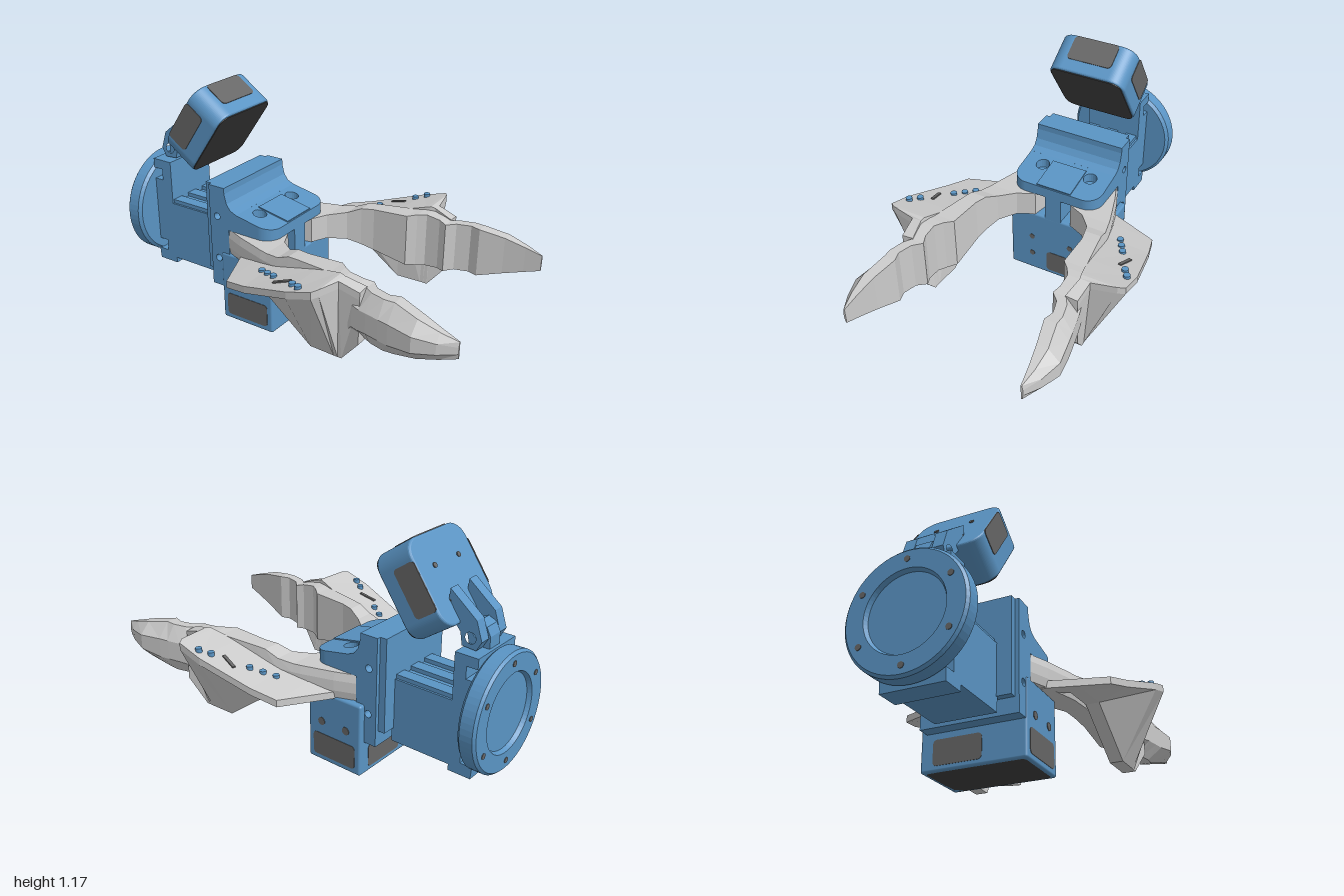
import * as THREE from 'three';
import { RoundedBoxGeometry } from 'three/addons/geometries/RoundedBoxGeometry.js';

const blue = new THREE.MeshStandardMaterial({ color: 0x5a94c4 });
const glass = new THREE.MeshStandardMaterial({ color: 0x666666 });
const lensDark = new THREE.MeshStandardMaterial({ color: 0x404040 });
const grey = new THREE.MeshStandardMaterial({ color: 0xcccccc, flatShading: true });

function add(parent, name, geo, mat) {
  const m = new THREE.Mesh(geo, mat);
  m.name = name;
  parent.add(m);
  return m;
}

// Box given by its min and max on each axis, rounded when r > 0
function box(parent, name, [x0, x1], [y0, y1], [z0, z1], mat = blue, r = 0) {
  const s = [x1 - x0, y1 - y0, z1 - z0];
  const g = r ? new RoundedBoxGeometry(...s, 3, r) : new THREE.BoxGeometry(...s);
  g.translate((x0 + x1) / 2, (y0 + y1) / 2, (z0 + z1) / 2);
  return add(parent, name, g, mat);
}

// Short cylinder along an axis
function peg(parent, name, axis, r, len, x, y, z, mat) {
  const g = new THREE.CylinderGeometry(r, r, len, 20);
  if (axis === 'x') g.rotateZ(Math.PI / 2);
  if (axis === 'z') g.rotateX(Math.PI / 2);
  g.translate(x, y, z);
  return add(parent, name, g, mat);
}

// xy profile extruded from z0 to z1, with round holes [x, y, r]
function slab(parent, name, pts, z0, z1, holes = []) {
  const s = new THREE.Shape(pts.map(p => new THREE.Vector2(...p)));
  for (const [x, y, r] of holes) s.holes.push(new THREE.Path().absarc(x, y, r, 0, Math.PI * 2, true));
  const g = new THREE.ExtrudeGeometry(s, { depth: z1 - z0, bevelEnabled: false, curveSegments: 20 });
  g.translate(0, 0, z0);
  return add(parent, name, g, blue);
}

function roundRect(w, h, r) {
  const s = new THREE.Shape(), a = w / 2 - r, b = h / 2 - r, q = Math.PI / 2;
  s.absarc(a, b, r, 0, q).absarc(-a, b, r, q, 2 * q).absarc(-a, -b, r, 2 * q, 3 * q).absarc(a, -b, r, 3 * q, 4 * q);
  return s;
}

// Thin rounded panel of size w x h facing +z before it is turned
function panel(parent, name, w, h, r, pos, rot, mat = glass) {
  const g = new THREE.ExtrudeGeometry(roundRect(w, h, r), { depth: 0.006, bevelEnabled: false, curveSegments: 6 });
  const m = add(parent, name, g.translate(0, 0, -0.003), mat);
  m.position.set(...pos);
  m.rotation.set(...rot);
  return m;
}

// Joins cross-sections along x; each is { x, ring: [[z, y], ...] }. side = -1 mirrors in z
function loft(sections, side) {
  const n = sections[0].ring.length, pos = [], idx = [];
  for (const s of sections) for (const [z, y] of s.ring) pos.push(s.x, y, z * side);
  const tri = (a, b, c) => (side > 0 ? idx.push(a, b, c) : idx.push(a, c, b));
  const last = (sections.length - 1) * n;
  for (let i = 0; i < last; i += n)
    for (let j = 0; j < n; j++) {
      const a = i + j, b = i + (j + 1) % n;
      tri(a, a + n, b + n);
      tri(a, b + n, b);
    }
  for (let j = 1; j < n - 1; j++) {
    tri(0, j, j + 1);
    tri(last, last + j + 1, last + j);
  }
  const g = new THREE.BufferGeometry();
  g.setAttribute('position', new THREE.Float32BufferAttribute(pos, 3));
  g.setIndex(idx);
  g.computeVertexNormals();
  return g;
}

// x, inner z, outer z, bottom y, top y
const FINGER = [
  [-0.35, 0.08, 0.24, 0.37, 0.5], [-0.25, 0.07, 0.28, 0.37, 0.5], [-0.09, 0.1, 0.33, 0.37, 0.5],
  [-0.05, 0.185, 0.34, 0.37, 0.5], [0.03, 0.25, 0.36, 0.36, 0.51], [0.1, 0.275, 0.37, 0.34, 0.54],
  [0.165, 0.29, 0.38, 0.32, 0.545], [0.35, 0.295, 0.41, 0.285, 0.555], [0.39, 0.33, 0.42, 0.28, 0.56],
  [0.43, 0.355, 0.44, 0.28, 0.56], [0.5, 0.355, 0.46, 0.285, 0.55], [0.54, 0.34, 0.47, 0.285, 0.54],
  [0.58, 0.38, 0.48, 0.29, 0.54], [0.65, 0.4, 0.495, 0.29, 0.54], [0.7, 0.385, 0.505, 0.29, 0.54],
  [0.82, 0.415, 0.525, 0.325, 0.515], [0.92, 0.433, 0.495, 0.355, 0.485], [1, 0.443, 0.453, 0.38, 0.46],
];
// x, inner z, inner top y, outer z, outer top y, fin z, fin bottom y
const WING = [
  [-0.25, 0.2, 0.42, 0.275, 0.4, 0.2, 0.365], [-0.13, 0.32, 0.43, 0.53, 0.42, 0.34, 0.375],
  [0, 0.34, 0.46, 0.565, 0.45, 0.36, 0.365], [0.27, 0.38, 0.54, 0.62, 0.535, 0.37, 0.165],
  [0.4, 0.41, 0.575, 0.622, 0.575, 0.375, 0.165], [0.42, 0.415, 0.58, 0.59, 0.58, 0.375, 0.165],
  [0.44, 0.42, 0.575, 0.47, 0.57, 0.375, 0.165], [0.54, 0.4, 0.545, 0.46, 0.54, 0.4, 0.285],
];

function makeFinger(side) {
  const g = new THREE.Group();
  g.name = side > 0 ? 'frontFinger' : 'rearFinger';
  add(g, 'fingerBody', loft(FINGER.map(([x, zi, zo, yb, yt]) => {
    const bevel = x > 0.45 ? (zo - zi) * 0.5 : 0.01, dy = (yt - yb) * 0.3;
    return { x, ring: [[zi, yt], [zi, yb], [zo - bevel, yb], [zo, yb + dy], [zo, yt - dy], [zo - bevel, yt]] };
  }), side), grey);
  add(g, 'fingerWing', loft(WING.map(([x, zi, yi, zo, yo, zb, yb]) => ({
    x, ring: [[zi, yi], [zb, yb], [zb + 0.065, yb], [zo, yo - 0.035], [zo, yo]],
  })), side), grey);
  // Rivets and slot on top of the wing
  for (const [x, z] of [[-0.015, 0.41], [0.04, 0.44], [0.095, 0.47], [0.26, 0.555], [0.31, 0.585]])
    peg(g, 'rivet', 'y', 0.016, 0.03, x, 0.452 + Math.max(x, -0.01) * 0.315, z * side, blue);
  const slot = box(g, 'slot', [-0.045, 0.045], [-0.006, 0.006], [-0.008, 0.008], glass);
  slot.position.set(0.18, 0.509, 0.52 * side);
  slot.rotation.set(0, side * 0.2, 0.3);
  return g;
}

function makeUpperCamera() {
  const g = new THREE.Group();
  g.name = 'upperCamera';
  const t = Math.PI / 2;
  const body = new THREE.ExtrudeGeometry(roundRect(0.39, 0.385, 0.07), {
    depth: 0.18, bevelThickness: 0.01, bevelSize: 0.01, bevelSegments: 3, curveSegments: 10,
  });
  add(g, 'cameraBody', body.translate(0, 0, -0.09).rotateY(t), blue);
  panel(g, 'cameraLens', 0.385, 0.38, 0.05, [0.101, 0, 0], [0, t, 0], lensDark);
  for (const s of [1, -1]) {
    panel(g, 'sideWindow', 0.12, 0.23, 0.02, [-0.04, 0, s * 0.205], [0, s > 0 ? 0 : Math.PI, 0]);
    peg(g, 'backScrew', 'x', 0.012, 0.01, -0.1, 0.06, s * 0.09, glass);
    peg(g, 'backScrew', 'x', 0.012, 0.01, -0.1, -0.1, s * 0.09, glass);
  }
  panel(g, 'topWindow', 0.13, 0.24, 0.02, [-0.03, 0.203, 0], [-t, 0, 0]);
  g.position.set(-0.592, 0.95, 0);
  g.rotation.z = -0.606;
  return g;
}

export function createModel() {
  const model = new THREE.Group();
  const t = Math.PI / 2;

  // Round wrist flange with recessed back
  const profile = [[0, 0.09], [0.27, 0.09], [0.285, 0.075], [0.285, 0.012], [0.273, 0], [0.19, 0], [0.18, 0.02], [0, 0.02]];
  const flange = new THREE.LatheGeometry(profile.map(p => new THREE.Vector2(...p)).reverse(), 64).toNonIndexed();
  flange.computeVertexNormals();
  add(model, 'wristFlange', flange.rotateZ(-t).translate(-1, 0.445, 0), blue);
  for (let i = 0; i < 6; i++) {
    const a = (i + 0.5) * Math.PI / 3;
    peg(model, 'flangeBolt', 'x', 0.014, 0.01, -0.998, 0.445 + 0.235 * Math.sin(a), 0.235 * Math.cos(a), glass);
  }

  // Wrist block and neck with rails
  slab(model, 'wristBlock', [[-0.92, 0.21], [-0.915, 0.15], [-0.8, 0.15], [-0.8, 0.73], [-0.915, 0.73], [-0.915, 0.68],
    [-0.86, 0.68], [-0.86, 0.62], [-0.92, 0.62], [-0.92, 0.27], [-0.86, 0.27], [-0.86, 0.21]], -0.15, 0.15);
  box(model, 'neck', [-0.81, -0.49], [0.18, 0.5], [-0.15, 0.15]);
  for (const z of [-0.11, 0, 0.11]) box(model, 'neckRail', [-0.81, -0.49], [0.49, 0.52], [z - 0.03, z + 0.03]);

  // Camera hinge
  const pin = [-0.84, 0.785, 0.026];
  slab(model, 'hingeBase', [[-0.9, 0.72], [-0.8, 0.72], [-0.785, 0.79], [-0.81, 0.83], [-0.84, 0.843], [-0.88, 0.825], [-0.9, 0.785]], -0.04, 0.04, [pin]);
  for (const z of [-0.1, 0.045])
    slab(model, 'hingeArm', [[-0.895, 0.78], [-0.865, 0.87], [-0.73, 0.98], [-0.72, 0.88], [-0.79, 0.8], [-0.8, 0.74], [-0.87, 0.735]], z, z + 0.055, [pin]);
  model.add(makeUpperCamera());

  // Upright plate
  box(model, 'rearPlate', [-0.5, -0.46], [0.25, 0.72], [-0.22, 0.22]);
  slab(model, 'uprightPlate', [[-0.465, 0.175], [-0.37, 0.175], [-0.37, 0.72], [-0.465, 0.72]], -0.24, 0.24,
    [[-0.42, 0.56, 0.018], [-0.42, 0.33, 0.018]]);

  // Upper bracket: fillet behind, sloped shelf with rounded corners in front
  slab(model, 'bracketFillet', [[-0.38, 0.5], [-0.3, 0.5], [-0.3, 0.595], [-0.335, 0.61], [-0.357, 0.64], [-0.37, 0.69], [-0.38, 0.69]], -0.24, 0.24);
  const shelf = new THREE.Shape();
  shelf.moveTo(-0.31, -0.24).lineTo(-0.17, -0.24).absarc(-0.17, -0.16, 0.08, -t, 0)
    .absarc(-0.17, 0.16, 0.08, 0, t).lineTo(-0.31, 0.24);
  for (const z of [-0.135, 0.135]) shelf.holes.push(new THREE.Path().absarc(-0.235, z, 0.035, 0, Math.PI * 2, true));
  const shelfGeo = new THREE.ExtrudeGeometry(shelf, { depth: 0.05, bevelEnabled: false, curveSegments: 10 });
  shelfGeo.rotateX(-t).translate(0, 0.5, 0);
  const p = shelfGeo.attributes.position;
  for (let i = 0; i < p.count; i++) if (p.getY(i) > 0.53) p.setY(i, 0.555 - (p.getX(i) + 0.09) * 0.19);
  shelfGeo.computeVertexNormals();
  add(model, 'bracketShelf', shelfGeo, blue);
  for (const z of [-0.135, 0.135]) peg(model, 'shelfBoss', 'y', 0.036, 0.04, -0.235, 0.521, z, blue);
  const pad = box(model, 'shelfPad', [-0.09, 0.09], [-0.01, 0.01], [-0.095, 0.095]);
  pad.position.set(-0.185, 0.569, 0);
  pad.rotation.z = -0.188;

  // Web between the fingers and pivots
  box(model, 'centreWeb', [-0.4, -0.09], [0.36, 0.51], [-0.045, 0.045]);
  box(model, 'webBack', [-0.4, -0.35], [0.36, 0.51], [-0.24, 0.24]);

  // Lower sensor housing with windows
  box(model, 'sensorHousing', [-0.4, -0.09], [0, 0.37], [-0.27, 0.245], blue, 0.012);
  panel(model, 'housingWindow', 0.25, 0.12, 0.02, [-0.245, 0.088, 0.244], [0, 0, 0]);
  panel(model, 'housingWindow', 0.25, 0.12, 0.02, [-0.245, 0.088, -0.269], [0, Math.PI, 0]);
  panel(model, 'housingWindow', 0.24, 0.12, 0.02, [-0.091, 0.085, -0.087], [0, t, 0]);
  panel(model, 'housingWindow', 0.24, 0.12, 0.02, [-0.399, 0.085, -0.087], [0, -t, 0]);
  panel(model, 'housingLens', 0.28, 0.48, 0.02, [-0.245, 0.003, -0.012], [t, 0, 0], lensDark);
  for (const x of [-0.315, -0.17])
    for (const z of [0.243, -0.268]) peg(model, 'housingScrew', 'z', 0.02, 0.01, x, 0.215, z, glass);
  for (const [y, z] of [[0.215, 0.12], [0.105, 0.12], [0.215, -0.1]])
    peg(model, 'housingScrew', 'x', 0.015, 0.01, -0.093, y, z, glass);

  model.add(makeFinger(1), makeFinger(-1));
  return model;
}
